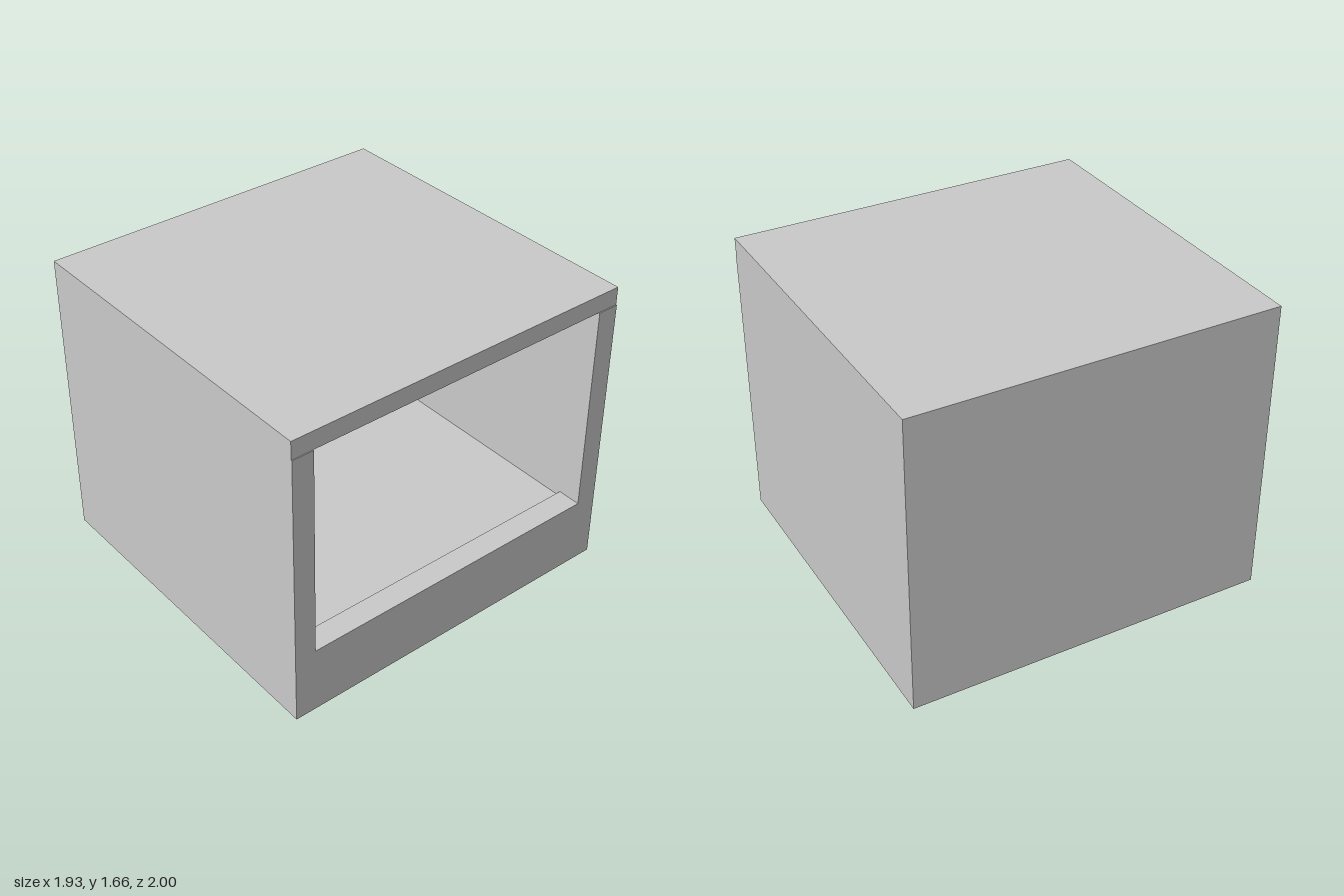
import * as THREE from 'three';

const material = new THREE.MeshStandardMaterial({ color: 0xcccccc, flatShading: true });

// Outer extents and the inner cavity
const X = 0.967, Z = 1, TOP = 1.66;
const CEILING = 1.56, FLOOR = 0.35, SILL = 0.38;
const INNER_Z = 0.88, BACK_X = -0.84, SILL_X = 0.835;

// Box given by its minimum and maximum corners
function block(name, [x0, y0, z0], [x1, y1, z1]) {
  const geometry = new THREE.BoxGeometry(x1 - x0, y1 - y0, z1 - z0);
  const mesh = new THREE.Mesh(geometry, material);
  mesh.position.set((x0 + x1) / 2, (y0 + y1) / 2, (z0 + z1) / 2);
  mesh.name = name;
  return mesh;
}

export function createModel() {
  const model = new THREE.Group();
  model.name = 'openBox';

  // Thick base and the closed wall opposite the opening
  model.add(block('base', [-X, 0, -INNER_Z], [X, FLOOR, INNER_Z]));
  model.add(block('closedWall', [-X, FLOOR, -INNER_Z], [BACK_X, CEILING, INNER_Z]));

  // Raised sill along the opening
  model.add(block('sill', [SILL_X, FLOOR, -INNER_Z], [X, SILL, INNER_Z]));

  // Full-height side walls
  model.add(block('frontWall', [-X, 0, INNER_Z], [X, CEILING, Z]));
  model.add(block('backWall', [-X, 0, -Z], [X, CEILING, -INNER_Z]));

  // Roof slab, set back very slightly above the opening
  model.add(block('roof', [-X, CEILING, -Z], [X - 0.005, TOP, Z]));

  return model;
}
